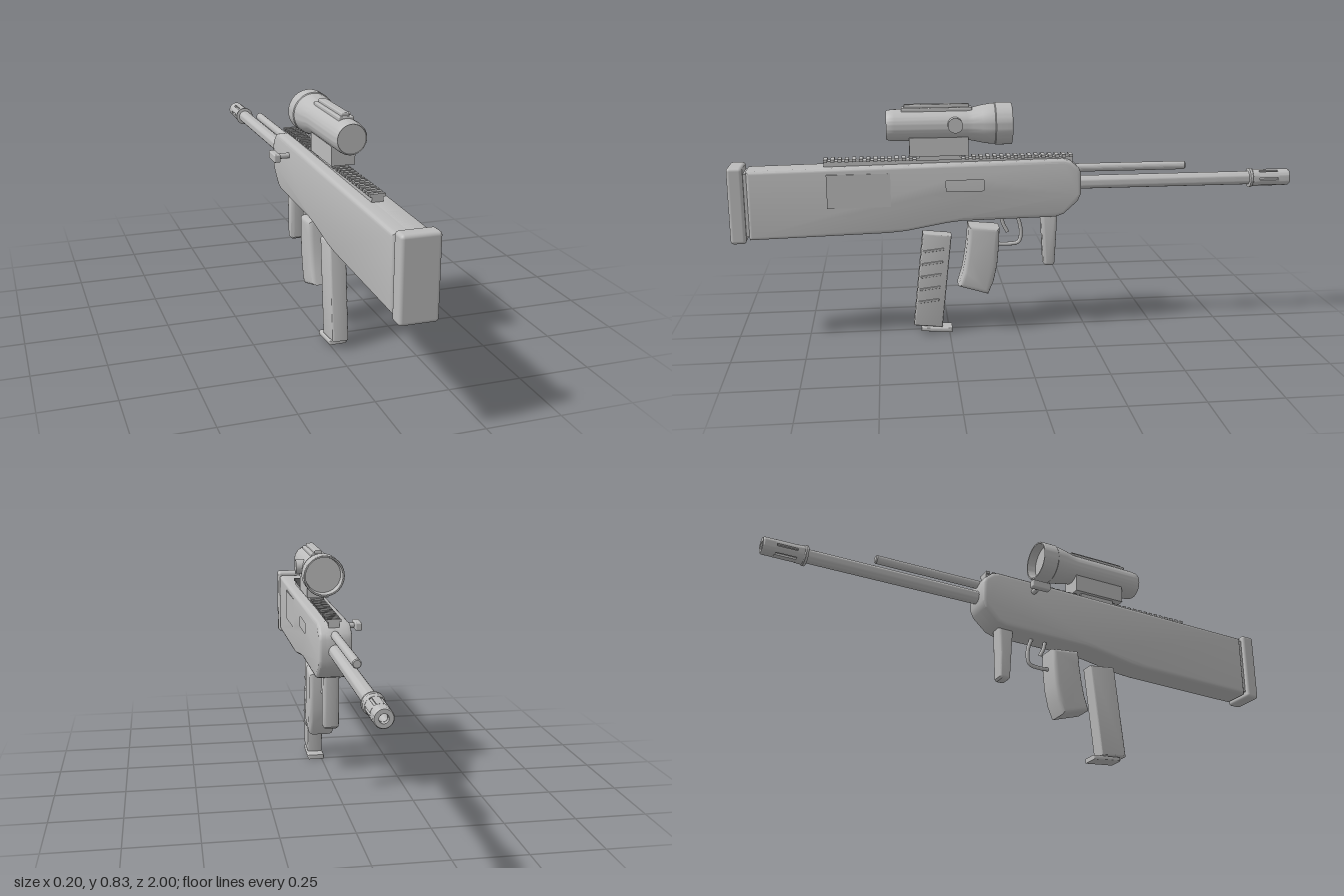
import * as THREE from 'three';
import { toCreasedNormals } from 'three/addons/utils/BufferGeometryUtils.js';
import { RoundedBoxGeometry } from 'three/addons/geometries/RoundedBoxGeometry.js';

const grey = new THREE.MeshStandardMaterial({ color: 0xbcbcbc });
grey.name = 'grey';
const CX = 0.022; // centre line of the rifle

export function createModel() {
  const root = new THREE.Group();
  root.name = 'rifle';

  const add = (name, geometry, x = 0, y = 0, z = 0) => {
    const mesh = new THREE.Mesh(geometry, grey);
    mesh.name = name;
    mesh.position.set(x, y, z);
    root.add(mesh);
    return mesh;
  };
  const box = (name, x0, x1, y0, y1, z0, z1, r = 0) => {
    const s = [x1 - x0, y1 - y0, z1 - z0];
    const g = r ? new RoundedBoxGeometry(...s, 3, r) : new THREE.BoxGeometry(...s);
    return add(name, g, (x0 + x1) / 2, (y0 + y1) / 2, (z0 + z1) / 2);
  };
  // Side outline of [z, y] points, extruded from x0 to x1 with rounded edges
  const side = (name, pts, x0, x1, bevel, hole) => {
    const toV = ([z, y]) => new THREE.Vector2(-z, y);
    const shape = new THREE.Shape(pts.map(toV));
    if (hole) shape.holes.push(new THREE.Path(hole.map(toV)));
    const g = new THREE.ExtrudeGeometry(shape, {
      depth: x1 - x0 - 2 * bevel, bevelEnabled: true, bevelSize: bevel,
      bevelThickness: bevel, bevelOffset: -bevel, bevelSegments: 3,
    });
    g.rotateY(Math.PI / 2).translate(x0 + bevel, 0, 0);
    return add(name, toCreasedNormals(g, 0.6));
  };
  // Turned part along z from [radius, z] points, z rising on the outside
  const turned = (name, pts, y, seg = 40) => {
    const g = new THREE.LatheGeometry(pts.map(([r, z]) => new THREE.Vector2(r, z)), seg);
    g.rotateX(Math.PI / 2);
    return add(name, toCreasedNormals(g, 0.5), CX, y, 0);
  };

  // Body: two overlapping layers, the outer one cut for the ejection port
  const outline = [
    [0.936, 0.378], [0.936, 0.62], [0.3, 0.63], [-0.16, 0.636], [-0.185, 0.63],
    [-0.214, 0.605], [-0.222, 0.585], [-0.222, 0.51], [-0.21, 0.485], [-0.16, 0.44],
    [-0.13, 0.43], [0.2, 0.425], [0.25, 0.42], [0.4, 0.394], [0.46, 0.389],
  ];
  const port = [[0.268, 0.585], [0.112, 0.585], [0.112, 0.522], [0.268, 0.522]];
  side('body', outline, -0.037, 0.068, 0.014);
  side('bodySide', outline, 0, 0.079, 0.012, port);
  box('buttPad', -0.04, 0.084, 0.367, 0.635, 0.946, 1, 0.012);
  box('buttNeck', -0.027, 0.07, 0.39, 0.612, 0.92, 0.96);
  box('sidePanel', 0.067, 0.081, 0.485, 0.603, 0.39, 0.667).rotation.y = 0.025;

  // Toothed rail
  box('railBase', 0.004, 0.042, 0.62, 0.643, -0.195, 0.675);
  for (let i = 0; i < 36; i++) {
    const z = -0.195 + i * 0.0245;
    box('railTooth', -0.002, 0.048, 0.64, 0.65, z, z + 0.0135);
  }

  // Barrel, gas tube and muzzle brake
  const BY = 0.544;
  turned('barrel', [[0, -0.87], [0.024, -0.87], [0.024, -0.2]], BY);
  turned('gasTube', [[0, -0.61], [0.012, -0.61], [0.015, -0.606], [0.015, -0.2]], 0.597, 24);
  turned('muzzleCollar', [[0.028, -0.885], [0.031, -0.885], [0.032, -0.862], [0.035, -0.858],
    [0.035, -0.85], [0.024, -0.848]], BY);
  turned('muzzleCore', [[0, -0.93], [0.013, -0.93], [0.013, -0.985], [0.022, -0.985], [0.022, -0.86]], BY);
  turned('muzzleRing', [[0.02, -0.955], [0.014, -0.955], [0.014, -1], [0.027, -1],
    [0.03, -0.995], [0.03, -0.955], [0.02, -0.955]], BY);
  const slots = 6, gap = 0.14;
  for (let i = 0; i < slots; i++) {
    const a = (i / slots) * Math.PI * 2 + gap, b = ((i + 1) / slots) * Math.PI * 2 - gap;
    const s = new THREE.Shape();
    s.absarc(0, 0, 0.0305, a, b, false);
    s.absarc(0, 0, 0.019, b, a, true);
    const g = new THREE.ExtrudeGeometry(s, { depth: 0.076, bevelEnabled: false, curveSegments: 8 });
    add('muzzleBar', toCreasedNormals(g, 0.5), CX, BY, -0.958);
  }

  // Scope, with recessed front lens and flat eyepiece
  const SY = 0.762;
  turned('scope', [[0, 0.055], [0.064, 0.055], [0.067, 0.022], [0.072, 0.022], [0.074, 0.025],
    [0.074, 0.08], [0.071, 0.083], [0.07, 0.1], [0.066, 0.125], [0.058, 0.16], [0.056, 0.18],
    [0.055, 0.43], [0.053, 0.45], [0.049, 0.458], [0.048, 0.454], [0, 0.454]], SY, 56);
  box('scopeStrip', -0.004, 0.048, 0.795, 0.823, 0.16, 0.405, 0.004);
  box('scopeRidge', 0.008, 0.036, 0.81, 0.834, 0.17, 0.395, 0.004);
  const knob = new THREE.CylinderGeometry(0.026, 0.026, 0.04, 32);
  knob.rotateZ(Math.PI / 2);
  add('scopeKnob', knob, 0.08, 0.768, 0.222);
  box('scopeMount', -0.018, 0.063, 0.657, 0.722, 0.175, 0.38);
  box('mountFoot', -0.004, 0.048, 0.64, 0.66, 0.205, 0.345);

  // Charging handle
  const shaft = new THREE.CylinderGeometry(0.01, 0.01, 0.06, 20);
  shaft.rotateZ(Math.PI / 2);
  add('chargingShaft', shaft, -0.057, 0.591, -0.02);
  box('chargingKnob', -0.101, -0.077, 0.577, 0.606, -0.057, 0.016, 0.005);

  // Curved grip behind the trigger
  side('curvedGrip', [[0.178, 0.404], [0.068, 0.393], [0.07, 0.33], [0.077, 0.255], [0.09, 0.195],
    [0.11, 0.147], [0.217, 0.18], [0.2, 0.235], [0.19, 0.29], [0.182, 0.35]], -0.025, 0.07, 0.016);

  // Straight magazine with slanted ribs and a foot
  side('magazine', [[0.34, 0.378], [0.238, 0.367], [0.276, 0.024], [0.378, 0.035]], -0.006, 0.051, 0.006);
  side('magazineFoot', [[0.352, 0.028], [0.24, 0.02], [0.24, 0.003], [0.352, 0.013]], -0.009, 0.054, 0.005);
  for (let i = 0; i < 5; i++) {
    const y = 0.315 - i * 0.047, z = 0.303 + i * 0.005;
    box('magazineRib', 0.046, 0.055, y - 0.004, y + 0.004, z - 0.037, z + 0.037, 0.002).rotation.x = 0.11;
  }

  // Front grip
  side('frontGrip', [[-0.083, 0.45], [-0.143, 0.45], [-0.138, 0.34], [-0.133, 0.25], [-0.126, 0.243],
    [-0.1, 0.243], [-0.093, 0.25]], -0.006, 0.051, 0.012);

  // Trigger and its guard
  const bar = (name, pts, r) => {
    const path = new THREE.CatmullRomCurve3(pts.map(([z, y]) => new THREE.Vector3(CX, y, z)));
    add(name, new THREE.TubeGeometry(path, 24, r, 10));
  };
  bar('triggerGuard', [[0.005, 0.435], [-0.008, 0.4], [-0.013, 0.36], [-0.004, 0.33], [0.03, 0.323], [0.085, 0.325]], 0.007);
  bar('trigger', [[0.06, 0.435], [0.052, 0.4], [0.036, 0.368]], 0.007);

  return root;
}
